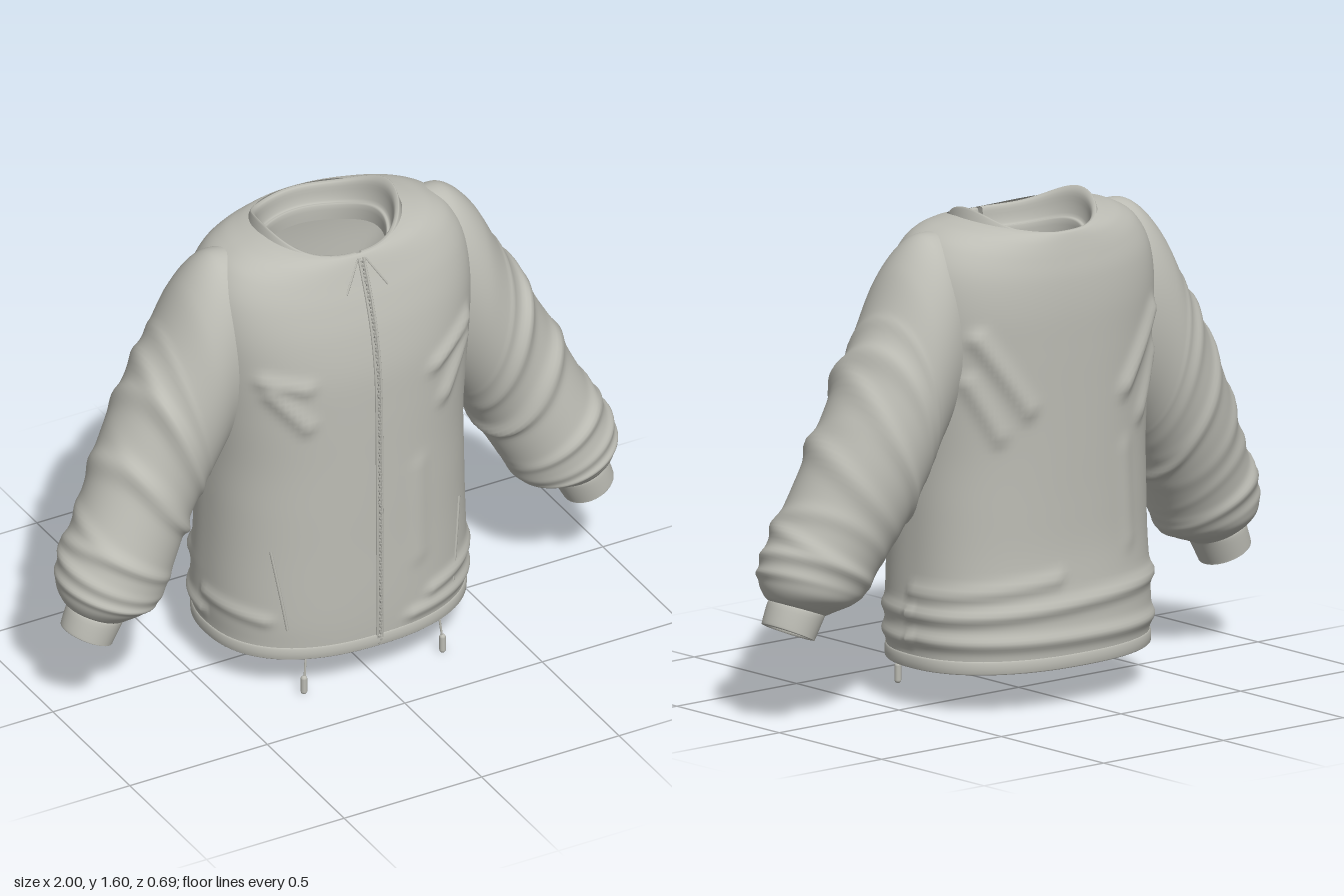
import * as THREE from 'three';

const fabric = new THREE.MeshStandardMaterial({ color: 0xbcbcb4, side: THREE.DoubleSide });
fabric.name = 'stone grey fabric';
const trim = new THREE.MeshStandardMaterial({ color: 0xa6a69f });
trim.name = 'zip grey';

// Catmull-Rom interpolation of every column of a station table
function sample(st, u) {
  const i = Math.min(Math.floor(u), st.length - 2), t = u - i;
  const b = st[i], c = st[i + 1], a = st[Math.max(i - 1, 0)], d = st[Math.min(i + 2, st.length - 1)];
  return b.map((p, k) => 0.5 * (2 * p + (c[k] - a[k]) * t + (2 * a[k] - 5 * p + 4 * c[k] - d[k]) * t * t
    + (3 * p - a[k] - 3 * c[k] + d[k]) * t * t * t));
}

// Skin of rings: point(u, angle) gives each vertex; a gap leaves the ring open at the front
function loft(count, steps, n, point, gap = 0) {
  const rows = (count - 1) * steps, pos = [], idx = [];
  const cols = gap ? n + 1 : n;
  for (let r = 0; r <= rows; r++) {
    for (let j = 0; j < cols; j++) {
      const a = Math.PI / 2 + gap + (j / n) * (2 * Math.PI - 2 * gap);
      pos.push(...point(r / steps, a));
    }
  }
  for (let r = 0; r < rows; r++) {
    for (let j = 0; j < n; j++) {
      const k = (j + 1) % cols, p = r * cols;
      const A = p + j, B = p + k, C = A + cols, D = B + cols;
      idx.push(A, C, B, B, C, D);
    }
  }
  const g = new THREE.BufferGeometry();
  g.setAttribute('position', new THREE.Float32BufferAttribute(pos, 3));
  g.setIndex(idx);
  g.computeVertexNormals();
  return g;
}

const bump = (d, w) => Math.exp(-(d * d) / (w * w));
const spow = (v, e) => Math.sign(v) * Math.abs(v) ** e;

// Torso: y at front and back, y at the sides, half width, front z, back z, roundness
const torso = [
  [0.135, 0.135, 0.446, 0.335, -0.322, 2.3],
  [0.18, 0.18, 0.447, 0.338, -0.325, 2.3],
  [0.25, 0.25, 0.452, 0.34, -0.328, 2.3],
  [0.35, 0.35, 0.45, 0.34, -0.322, 2.3],
  [0.5, 0.5, 0.445, 0.338, -0.308, 2.3],
  [0.65, 0.65, 0.442, 0.337, -0.305, 2.3],
  [0.82, 0.82, 0.44, 0.335, -0.305, 2.3],
  [1.0, 1.0, 0.452, 0.332, -0.305, 2.35],
  [1.15, 1.16, 0.465, 0.325, -0.305, 2.4],
  [1.28, 1.31, 0.472, 0.302, -0.303, 2.45],
  [1.38, 1.43, 0.455, 0.272, -0.293, 2.45],
  [1.45, 1.51, 0.41, 0.245, -0.277, 2.4],
  [1.5, 1.548, 0.35, 0.225, -0.262, 2.3],
  [1.525, 1.562, 0.29, 0.212, -0.252, 2.1],
  [1.53, 1.568, 0.245, 0.203, -0.245, 2],
];

// Cloth folds: x0, y0, x1, y1, face (1 front, -1 back), height, width
const folds = [
  [0.37, 1.19, 0.22, 1.1, 1, 0.016, 0.025], [0.36, 1.13, 0.26, 0.97, 1, 0.016, 0.025],
  [-0.36, 1.17, -0.24, 1.14, 1, 0.014, 0.025], [-0.34, 1.12, -0.24, 1.0, 1, 0.016, 0.025],
  [0.15, 0.75, 0.15, 0.42, 1, 0.006, 0.03], [0.45, 0.31, 0.2, 0.27, 1, 0.012, 0.022],
  [0.45, 0.22, 0.12, 0.21, 1, 0.012, 0.022], [-0.45, 0.29, -0.36, 0.27, 1, 0.01, 0.022],
  [-0.45, 0.22, 0.45, 0.23, -1, 0.014, 0.024], [-0.4, 0.36, 0.45, 0.31, -1, 0.016, 0.024],
  [0.1, 0.42, 0.45, 0.38, -1, 0.012, 0.022], [0.36, 1.22, 0.2, 0.98, -1, 0.018, 0.028],
  [-0.36, 1.22, -0.2, 1.0, -1, 0.018, 0.028], [-0.38, 1.08, -0.29, 0.9, -1, 0.014, 0.025],
  [0.38, 1.08, 0.29, 0.9, -1, 0.014, 0.025], [-0.2, 0.8, -0.22, 0.5, -1, 0.006, 0.03],
];
function foldHeight(x, y, z) {
  let h = 0;
  for (const [x0, y0, x1, y1, face, amp, w] of folds) {
    if (face * z < -0.02) continue;
    const dx = x1 - x0, dy = y1 - y0;
    const t = THREE.MathUtils.clamp(((x - x0) * dx + (y - y0) * dy) / (dx * dx + dy * dy), 0, 1);
    h += amp * bump(Math.hypot(x - x0 - t * dx, y - y0 - t * dy), w);
  }
  return h;
}
function ringPoint([yf, ys, w, zf, zb, p], a, grow = 0) {
  const c = Math.cos(a), s = Math.sin(a);
  const x = (w + grow) * spow(c, 2 / p);
  const z = ((s > 0 ? zf : -zb) + grow) * spow(s, 2 / p);
  return [x, yf + (ys - yf) * c * c, z];
}
function torsoPoint(u, a) {
  const st = sample(torso, u);
  const [x, y, z] = ringPoint(st, a);
  return ringPoint(st, a, foldHeight(x, y, z));
}
// Depth of the jacket front at a given x, y
function frontZ(x, y) {
  let lo = 0, hi = torso.length - 1;
  for (let i = 0; i < 30; i++) {
    const m = (lo + hi) / 2;
    if (sample(torso, m)[0] < y) lo = m; else hi = m;
  }
  const [, , w, zf, , p] = sample(torso, lo);
  return zf * (1 - Math.abs(x / w) ** p) ** (1 / p);
}

// Sleeve: outer x, y; inner x, y; front z, back z
const sleeve = [
  [0.33, 1.535, 0.39, 0.87, 0.16, -0.18],
  [0.43, 1.535, 0.42, 0.83, 0.175, -0.2],
  [0.52, 1.45, 0.44, 0.8, 0.185, -0.21],
  [0.6, 1.3, 0.463, 0.76, 0.185, -0.213],
  [0.69, 1.14, 0.5, 0.69, 0.18, -0.207],
  [0.79, 0.95, 0.545, 0.605, 0.18, -0.19],
  [0.87, 0.78, 0.59, 0.52, 0.195, -0.16],
  [0.935, 0.65, 0.625, 0.455, 0.208, -0.137],
  [0.985, 0.55, 0.655, 0.4, 0.213, -0.122],
  [0.995, 0.475, 0.7, 0.375, 0.203, -0.105],
  [0.98, 0.425, 0.75, 0.358, 0.172, -0.062],
  [0.958, 0.405, 0.79, 0.343, 0.148, -0.03],
];
const cuff = [
  [0.955, 0.412, 0.785, 0.345, 0.147, -0.03],
  [0.968, 0.405, 0.793, 0.337, 0.153, -0.035],
  [0.99, 0.347, 0.828, 0.275, 0.15, -0.03],
  [0.988, 0.338, 0.832, 0.27, 0.148, -0.028],
  [0.975, 0.338, 0.843, 0.28, 0.136, -0.016],
  [0.945, 0.4, 0.81, 0.345, 0.135, -0.015],
];
// Folds round the sleeve: station, slant, facing angle, height, width
const creases = [
  [3.1, 0.25, 0, 0.006, 0.1], [3.75, 0.3, 0.3, 0.016, 0.2], [4.2, -0.3, 0, 0.014, 0.17],
  [4.9, 0.35, 2.6, 0.014, 0.17], [5.35, -0.3, 0.4, 0.015, 0.2], [6.6, 0.3, 0, 0.008, 0.2],
  [7.15, -0.25, 0.3, 0.013, 0.2], [7.75, 0.2, -0.3, 0.012, 0.2], [8.5, 0.2, 1, 0.01, 0.22],
];
function sleevePoint(table, side, creased) {
  return (u, a0) => {
    const a = -side * a0;
    const [ox, oy, ix, iy, zf, zb] = sample(table, u);
    let h = 0;
    if (creased) for (const [u0, slant, face, amp, w] of creases)
      h += amp * bump(u - u0 - slant * Math.sin(a), w) * (0.55 + 0.45 * Math.cos(a - face));
    const c = Math.cos(a), s = Math.sin(a), len = Math.hypot(ox - ix, oy - iy);
    const k = 0.5 + h / len;
    return [side * ((ox + ix) / 2 + c * (ox - ix) * k), (oy + iy) / 2 + c * (oy - iy) * k,
      (zf + zb) / 2 + s * ((zf - zb) / 2 + h)];
  };
}

// Collar: radius, y at front and back, extra rise at the sides
const collar = [
  [0.252, 1.51, 0.04], [0.242, 1.528, 0.068], [0.236, 1.53, 0.07], [0.224, 1.525, 0.055],
  [0.22, 1.49, 0.05], [0.212, 1.465, 0.04], [0.198, 1.462, 0.035], [0.198, 1.41, 0.03],
];

export function createModel() {
  const group = new THREE.Group();
  const add = (name, geo, mat = fabric) => {
    const m = new THREE.Mesh(geo, mat);
    m.name = name;
    group.add(m);
    return m;
  };
  const tube = (name, pts, r, mat) => add(name, new THREE.TubeGeometry(
    new THREE.CatmullRomCurve3(pts.map((p) => new THREE.Vector3(...p))), 32, r, 6), mat);

  add('body', loft(torso.length, 8, 144, torsoPoint));

  // Hem band turned under at the bottom edge
  const hem = [[0.17, -0.018], [0.135, -0.016], [0.13, -0.004], [0.133, 0.005], [0.168, 0.005], [0.174, -0.004]];
  add('hemBand', loft(hem.length, 2, 96, (u, a) => {
    const [y, grow] = sample(hem, u);
    return ringPoint([y, y, 0.446, 0.336, -0.323, 2.3], a, grow);
  }));

  add('collar', loft(collar.length, 3, 96, (u, a) => {
    const [r, y, rise] = sample(collar, u);
    return [r * Math.cos(a), y + rise * Math.cos(a) ** 4, -0.021 + r * 0.93 * Math.sin(a)];
  }, 0.04));

  for (const side of [1, -1]) {
    const tag = side > 0 ? 'left' : 'right';
    add(tag + 'Sleeve', loft(sleeve.length, 10, 64, sleevePoint(sleeve, side, true)));
    add(tag + 'Cuff', loft(cuff.length, 4, 48, sleevePoint(cuff, side, false)));

    // Slanted pocket welt
    const welt = [0, 0.33, 0.66, 1].map((t) => {
      const x = side * (0.342 - 0.042 * t), y = 0.53 - 0.29 * t;
      return [x, y, frontZ(x, y)];
    });
    tube(tag + 'PocketWelt', welt, 0.005, fabric);

    // Crease fanning out below the collar
    const fan = [0, 0.5, 1].map((t) => {
      const x = side * (0.015 + 0.06 * t), y = 1.515 - 0.095 * t;
      return [x, y, frontZ(x, y) - 0.001];
    });
    tube(tag + 'CollarCrease', fan, 0.004, fabric);

    // Zip tape edge
    const tape = Array.from({ length: 15 }, (_, i) => {
      const y = 0.135 + (1.385 * i) / 14;
      return [side * 0.009, y, frontZ(0.009, y) + 0.001];
    });
    tube(tag + 'ZipTape', tape, 0.005, fabric);

    // Drawcord and toggle at the hem
    tube(tag + 'Drawcord', [[side * 0.24, 0.155, 0.275], [side * 0.243, 0.13, 0.288],
      [side * 0.246, 0.1, 0.292], [side * 0.25, 0.06, 0.295]], 0.004, fabric);
    const toggle = add(tag + 'Toggle', new THREE.CapsuleGeometry(0.011, 0.046, 4, 10));
    toggle.position.set(side * 0.252, 0.034, 0.295);
  }

  // Zip teeth, alternating left and right
  const tooth = new THREE.BoxGeometry(0.008, 0.007, 0.008);
  const teeth = new THREE.Group();
  teeth.name = 'zipTeeth';
  for (let i = 0; i < 116; i++) {
    const y = 0.14 + i * 0.0119, m = new THREE.Mesh(tooth, trim);
    m.name = 'zipTooth';
    m.position.set(i % 2 ? 0.002 : -0.002, y, frontZ(0, y) + 0.003);
    teeth.add(m);
  }
  group.add(teeth);
  return group;
}
